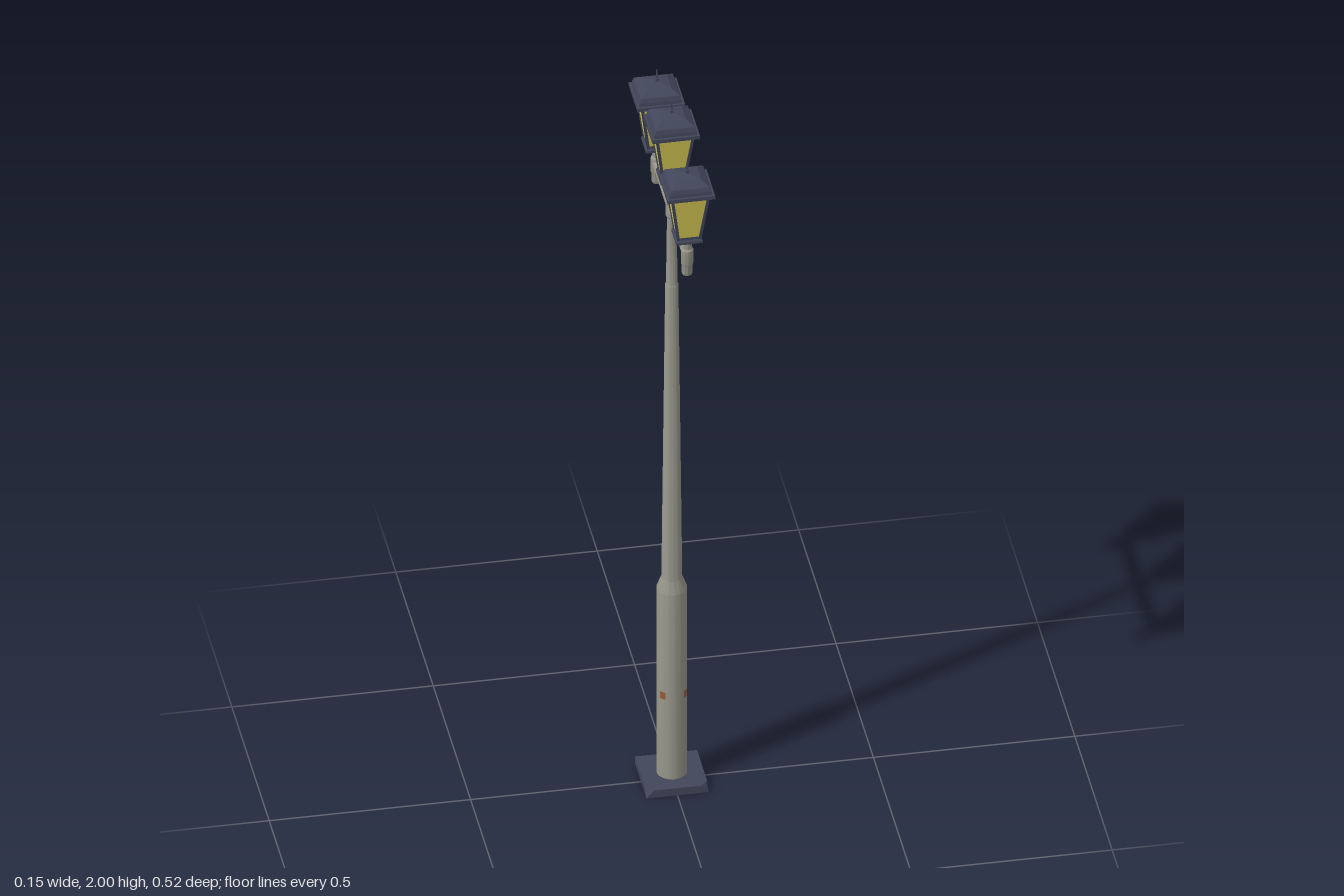
import * as THREE from 'three';
import { toCreasedNormals } from 'three/addons/utils/BufferGeometryUtils.js';
import { ConvexGeometry } from 'three/addons/geometries/ConvexGeometry.js';

const mat = (name, color, extra = {}) => new THREE.MeshStandardMaterial({ name, color, ...extra });
const V = (x, y, z) => new THREE.Vector3(x, y, z);

export function createModel() {
  const stone = mat('weathered grey', 0x96968a);
  const iron = mat('dark blue iron', 0x42465a);
  const glass = mat('yellow glass', 0xd4c854);
  const rust = mat('rust', 0x985a34, { side: THREE.DoubleSide });
  const wireMat = mat('wire black', 0x34343a);

  const model = new THREE.Group();
  model.name = 'streetLamp';
  const POLE_Z = -0.003;

  const add = (parent, name, geometry, material) => {
    const mesh = new THREE.Mesh(geometry, material);
    mesh.name = name;
    parent.add(mesh);
    return mesh;
  };
  // profile of [radius, y] points, bottom to top
  const turned = (profile, sides = 16) =>
    toCreasedNormals(new THREE.LatheGeometry(profile.map(([r, y]) => new THREE.Vector2(r, y)), sides), 0.5);
  // square version: [half width, y]
  const squared = (profile) => {
    const g = new THREE.LatheGeometry(
      profile.map(([h, y]) => new THREE.Vector2(h * Math.SQRT2, y)), 4, Math.PI / 4);
    return toCreasedNormals(g, 0.05);
  };
  // straight square bar between two points
  const bar = (parent, name, a, b, size, material) => {
    const mesh = add(parent, name, new THREE.BoxGeometry(size, a.distanceTo(b), size), material);
    mesh.position.copy(a).lerp(b, 0.5);
    mesh.quaternion.setFromUnitVectors(V(0, 1, 0), b.clone().sub(a).normalize());
  };

  // ---- base plate, with its two front corners cut down
  const B = 0.077, T = 0.021, C = 0.018;
  const corners = [];
  for (const s of [-1, 1]) {
    corners.push(V(s * B, 0, -B), V(s * B, 0, B), V(s * B, T, -B));
    corners.push(V(s * (B - C), T, B), V(s * B, T, B - C));
  }
  add(model, 'basePlate', new ConvexGeometry(corners), iron).position.z = POLE_Z;

  // ---- pole
  const pole = new THREE.Group();
  pole.name = 'pole';
  pole.position.z = POLE_Z;
  model.add(pole);
  add(pole, 'poleShaft', turned([
    [0.038, 0.018], [0.038, 0.565], [0.026, 0.597], [0.0165, 1.46], [0.0145, 1.465],
    [0.012, 1.66], [0.015, 1.665], [0.015, 1.71], [0.012, 1.715], [0.012, 1.775], [0, 1.775],
  ]), stone);

  // ---- cross arm and the two end posts
  const arm = add(model, 'crossArm', new THREE.CylinderGeometry(0.0125, 0.0125, 0.404, 12), stone);
  arm.rotation.x = Math.PI / 2;
  arm.position.y = 1.687;
  for (const s of [-1, 1]) {
    add(model, 'endPost', turned([
      [0, 1.63], [0.012, 1.63], [0.014, 1.636], [0.014, 1.658], [0.0155, 1.662], [0.0155, 1.702],
      [0.012, 1.707], [0.012, 1.735], [0, 1.735],
    ], 12), stone).position.z = s * 0.202;
  }

  // ---- lanterns
  const lantern = (y, z) => {
    const g = new THREE.Group();
    g.name = 'lantern';
    g.position.set(0, y, z);
    model.add(g);
    add(g, 'lanternFoot', squared([
      [0, 0], [0.022, 0], [0.033, 0.008], [0.033, 0.014], [0.029, 0.02], [0, 0.02],
    ]), iron);
    add(g, 'lanternGlass', squared([[0.027, 0.018], [0.046, 0.152]]), glass);
    for (let i = 0; i < 4; i++) {
      const side = new THREE.Group();
      side.name = 'lanternFrame';
      side.rotation.y = i * Math.PI / 2;
      g.add(side);
      bar(side, 'cornerPost', V(0.026, 0.016, 0.026), V(0.045, 0.152, 0.045), 0.007, iron);
      bar(side, 'lowerRail', V(-0.027, 0.022, 0.0265), V(0.027, 0.022, 0.0265), 0.006, iron);
      bar(side, 'upperRail', V(-0.046, 0.148, 0.0445), V(0.046, 0.148, 0.0445), 0.006, iron);
    }
    add(g, 'lanternRoof', squared([
      [0, 0.148], [0.052, 0.148], [0.059, 0.151], [0.059, 0.161], [0.053, 0.161], [0.052, 0.17],
      [0.048, 0.181], [0.03, 0.193], [0, 0.199],
    ]), iron);
    add(g, 'finial', squared([
      [0.004, 0.195], [0.004, 0.205], [0.0022, 0.208], [0.0015, 0.23], [0, 0.23],
    ]), iron);
  };
  lantern(1.77, POLE_Z);
  lantern(1.73, 0.202);
  lantern(1.73, -0.202);

  // ---- thin scrolled wires around the arm: [z, y] paths, mirrored
  const wires = [
    [[0.012, 1.685], [0.03, 1.672], [0.055, 1.661], [0.085, 1.66], [0.108, 1.668], [0.112, 1.676]],
    [[0.012, 1.735], [0.018, 1.722], [0.02, 1.708], [0.03, 1.699]],
    [[0.188, 1.662], [0.18, 1.655], [0.177, 1.663], [0.182, 1.674]],
  ];
  for (const s of [-1, 1]) {
    for (const path of wires) {
      const curve = new THREE.CatmullRomCurve3(path.map(([z, y]) => V(0, y, s * z)));
      add(model, 'scrollWire', new THREE.TubeGeometry(curve, 16, 0.0018, 5), wireMat);
    }
  }

  // ---- rust patches: thin curved plates (radius, y, height, angle from +z towards +x, width angle)
  const patch = (parent, r, y, h, angle, width, rTop = r) => {
    const g = new THREE.CylinderGeometry(rTop, r, h, 4, 1, true, angle - width / 2, width);
    const mesh = add(parent, 'rustPatch', g, rust);
    mesh.position.y = y;
    return mesh;
  };
  patch(pole, 0.0388, 0.265, 0.02, -0.8, 0.4);
  patch(pole, 0.0388, 0.263, 0.02, 0.9, 0.4);
  patch(pole, 0.0388, 0.265, 0.012, 2.35, 0.2);
  patch(pole, 0.0262, 0.68, 0.025, 2.35, 0.5, 0.0259);
  for (const [z, len] of [[-0.13, 0.02], [0.1, 0.03]]) {
    const streak = patch(model, 0.0131, 1.687, len, Math.PI - 0.4, 0.3);
    streak.rotation.x = Math.PI / 2;
    streak.position.z = z;
  }

  return model;
}
